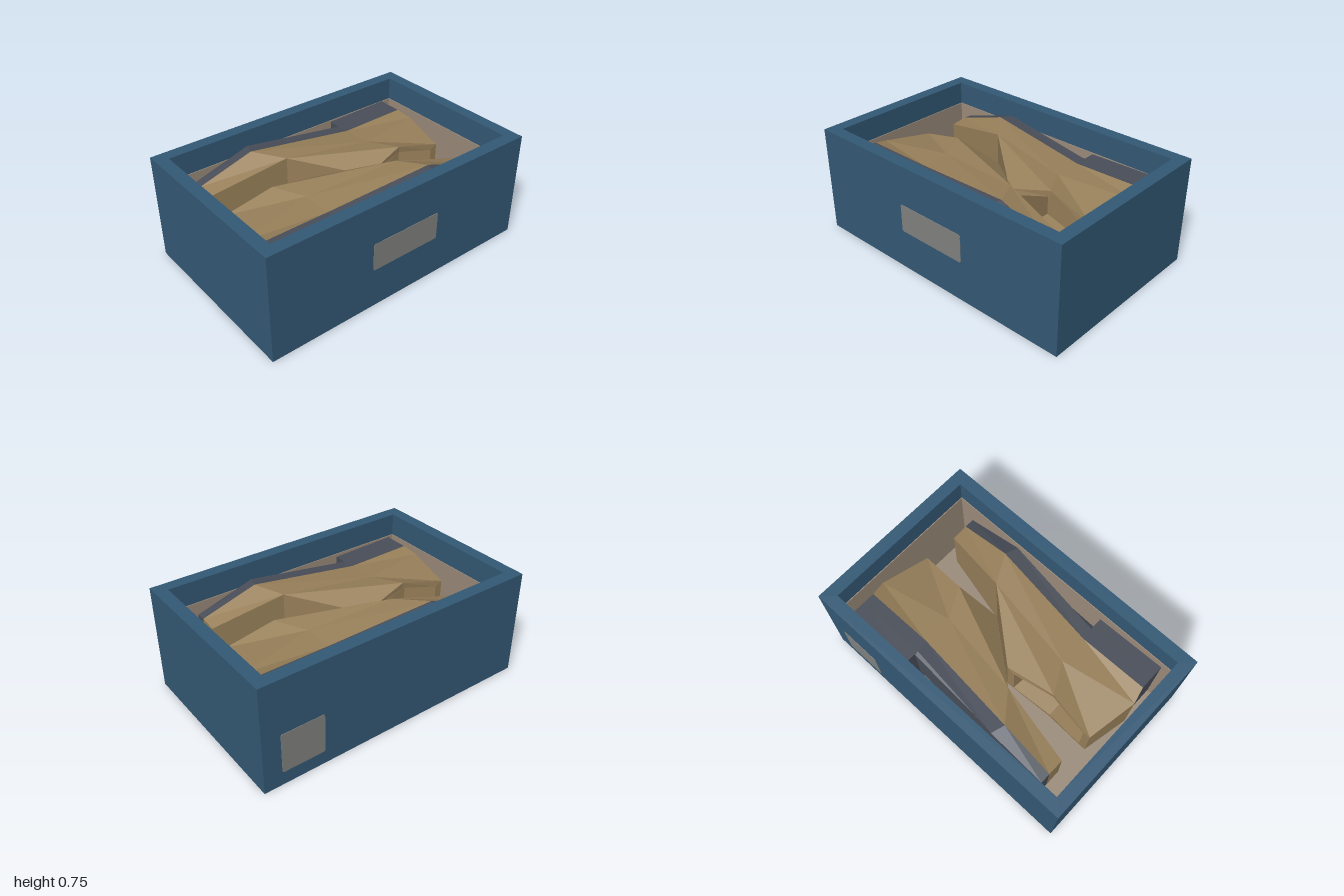
import * as THREE from 'three';

const paint = (name, color, extra = {}) => {
  const m = new THREE.MeshStandardMaterial({ color, ...extra });
  m.name = name;
  return m;
};

// Rounded rectangle outline centred on the origin
function rect(w, h, r, Type = THREE.Shape) {
  const x = w / 2, y = h / 2, s = new Type();
  s.moveTo(-x + r, -y).lineTo(x - r, -y).quadraticCurveTo(x, -y, x, -y + r)
    .lineTo(x, y - r).quadraticCurveTo(x, y, x - r, y)
    .lineTo(-x + r, y).quadraticCurveTo(-x, y, -x, y - r)
    .lineTo(-x, -y + r).quadraticCurveTo(-x, -y, -x + r, -y);
  return s;
}

// Four walls standing from y0 to y1
function walls(w, d, t, y0, y1) {
  const s = new THREE.Shape([[-w, -d], [w, -d], [w, d], [-w, d]].map(p => new THREE.Vector2(p[0] / 2, p[1] / 2)));
  const a = w / 2 - t, b = d / 2 - t;
  s.holes.push(new THREE.Path([[-a, -b], [-a, b], [a, b], [a, -b]].map(p => new THREE.Vector2(...p))));
  return new THREE.ExtrudeGeometry(s, { depth: y1 - y0, bevelEnabled: false }).rotateX(-Math.PI / 2).translate(0, y0, 0);
}

// Mirror a half outline of [length, height, halfWidth] into a closed ring
const ring = half => [
  ...half.map(([x, h, w]) => [x, w, h]),
  ...half.slice().reverse().map(([x, h, w]) => [x, -w, h]),
];

// Collects polygons into one flat faceted geometry
class Faces {
  constructor() { this.p = []; }
  poly(pts) {
    for (let i = 1; i < pts.length - 1; i++) this.p.push(...pts[0], ...pts[i], ...pts[i + 1]);
    return this;
  }
  band(a, b) {
    a.forEach((_, i) => { const j = (i + 1) % a.length; this.poly([a[i], b[i], b[j], a[j]]); });
    return this;
  }
  build() {
    const g = new THREE.BufferGeometry();
    g.setAttribute('position', new THREE.Float32BufferAttribute(this.p, 3));
    g.computeVertexNormals();
    return g;
  }
}

export function createModel() {
  const model = new THREE.Group();
  model.name = 'boxedBoots';
  const card = paint('blue card', 0x345a76);
  const label = paint('grey label', 0x82837f);
  const paper = paint('tan paper', 0x9c8c7b);
  const leather = paint('tan leather', 0x98805a, { flatShading: true, side: THREE.DoubleSide });
  const rubber = paint('dark rubber', 0x494e59, { flatShading: true, side: THREE.DoubleSide });

  const add = (parent, name, geo, mat, x = 0, y = 0, z = 0) => {
    const m = new THREE.Mesh(geo, mat);
    m.name = name;
    m.position.set(x, y, z);
    parent.add(m);
    return m;
  };

  // Open box
  add(model, 'boxWalls', walls(2, 1.27, 0.085, 0, 0.75), card);
  add(model, 'boxFloor', new THREE.BoxGeometry(1.84, 0.03, 1.11), card, 0, 0.015, 0);

  // Paper lining
  add(model, 'paperWalls', walls(1.83, 1.1, 0.006, 0.03, 0.59), paper);
  add(model, 'paperFloor', new THREE.BoxGeometry(1.82, 0.01, 1.09), paper, 0, 0.035, 0);

  // Labels on the front and back
  const plate = (w, h) => new THREE.ExtrudeGeometry(rect(w, h, 0.015), { depth: 0.004, bevelEnabled: false });
  add(model, 'frontLabel', plate(0.52, 0.195), label, 0, 0.378, 0.634);
  add(model, 'backLabel', plate(0.3, 0.28), label, 0.725, 0.235, -0.634).rotation.y = Math.PI;

  // A boot lying on its side, with its sole towards -z
  function boot(name, shift) {
    const g = new THREE.Group();
    g.name = name;

    const soleBase = [[-0.78, -0.515, 0.18], [-0.37, -0.52, 0.3], [0.34, -0.44, 0.235], [0.83, -0.445, 0.24]];
    const soleTop = [[-0.78, -0.445, 0.185], [-0.4, -0.43, 0.31], [0.35, -0.355, 0.235], [0.83, -0.36, 0.24]];
    const instep = [[-0.78, -0.33, 0.17], [-0.25 - shift, -0.24, 0.29], [0.35, -0.15, 0.24], [0.855, -0.255, 0.21]];
    const collar = [[0.16 - shift, 0.095, 0.165], [0.46, 0.055, 0.25], [0.79, 0.085, 0.165]];
    const scaled = (k, h) => collar.map(([x, y, w]) => [0.47 + (x - 0.47) * k, h ?? y, w * k]);

    // Sole and heel block
    const base = ring(soleBase), top = ring(soleTop);
    add(g, 'sole', new Faces().band(base, top).poly(base).build(), rubber);
    const heelTop = ring(soleBase.slice(2));
    const heelBase = ring([[0.34, -0.53, 0.235], [0.83, -0.54, 0.24]]);
    add(g, 'heel', new Faces().band(heelBase, heelTop).poly(heelBase).build(), rubber);

    // Upper: foot, toe cap, ankle, collar rim and hollow inside
    const mid = ring(instep), rim = ring(collar), inner = ring(scaled(0.84)), deep = ring(scaled(0.75, -0.2));
    const upper = new Faces()
      .band(top, mid)
      .poly([mid[7], mid[6], mid[1], mid[0]])
      .band(ring(instep.slice(1)), rim)
      .band(rim, inner)
      .band(inner, deep)
      .poly(deep.slice().reverse());
    add(g, 'upper', upper.build(), leather);
    model.add(g);
    return g;
  }

  boot('backBoot', 0).position.set(0, 0.355, 0);
  const front = boot('frontBoot', 0.05);
  front.position.set(-0.02, 0.355, -0.02);
  front.rotation.y = Math.PI;

  return model;
}
